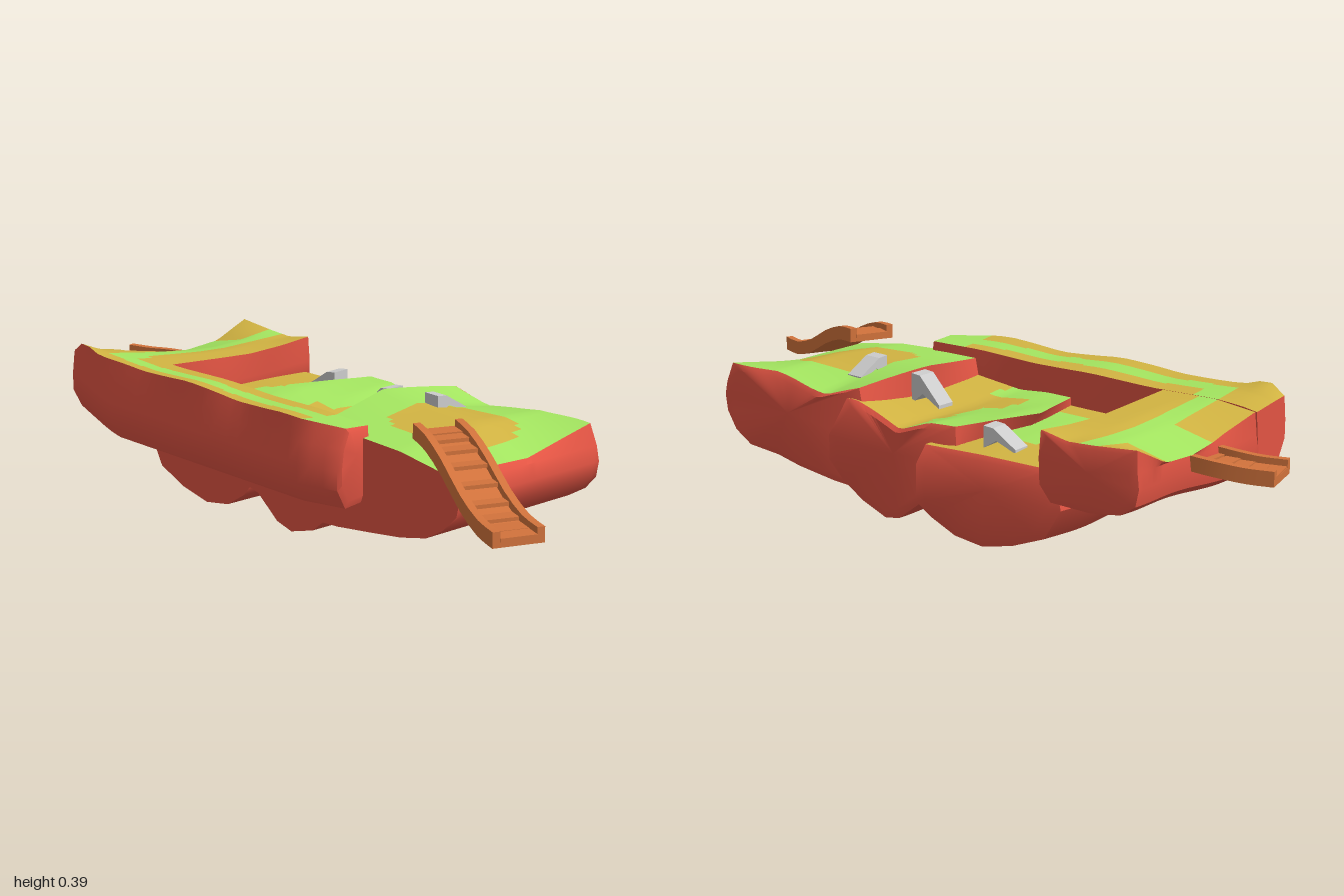
import * as THREE from 'three';
import { mergeVertices, toCreasedNormals } from 'three/addons/utils/BufferGeometryUtils.js';

const mat = (color) => new THREE.MeshStandardMaterial({ color, side: THREE.DoubleSide });
const mats = {
  rock: mat(0xe25443), grass: mat(0xa4e660), earth: mat(0xd2b442),
  wood: mat(0xd2733c), stone: mat(0xcccccc),
};

// mesh from a flat list of triangle corners
function facesMesh(name, points, material, crease) {
  const flat = new THREE.BufferGeometry().setFromPoints(points);
  const mesh = new THREE.Mesh(toCreasedNormals(mergeVertices(flat), crease), material);
  mesh.name = name;
  return mesh;
}

// joins a row of equal rings with quads; pick(i, j) chooses the list each quad goes to
function skin(rings, pick) {
  for (let i = 0; i + 1 < rings.length; i++) {
    const a = rings[i], b = rings[i + 1], n = a.length;
    for (let j = 0; j < n; j++) {
      const k = (j + 1) % n;
      pick(i, j).push(a[j], a[k], b[j], a[k], b[k], b[j]);
    }
  }
}

// bilinear height table: rows follow zs, columns follow xs
function heights(xs, zs, rows) {
  const find = (list, v) => {
    let i = 0;
    while (i < list.length - 2 && v > list[i + 1]) i++;
    return [i, THREE.MathUtils.clamp((v - list[i]) / (list[i + 1] - list[i]), 0, 1)];
  };
  return (x, z) => {
    const [i, s] = find(xs, x), [j, t] = find(zs, z);
    const mix = (r) => r[i] + (r[i + 1] - r[i]) * s;
    return mix(rows[j]) * (1 - t) + mix(rows[j + 1]) * t;
  };
}

// rock island: section (v, y) carried along u, with a height-mapped two-colour top;
// flare pushes the far end out, lift and shift move the underside, moss marks green underside faces
function island(name, { flare = () => 0, lift = () => 0, shift = () => 0, moss = () => false, ...o }) {
  const NU = 28, NV = 20, group = new THREE.Group();
  group.name = name;
  const place = (u, v, y) => (o.turned ? new THREE.Vector3(-v, y, u) : new THREE.Vector3(u, y, v));
  const ring = (u, end) => {
    const pts = [], v0 = o.v0(u), v1 = o.v1(u);
    for (let j = 0; j <= NV; j++) {
      const v = v0 + ((v1 - v0) * j) / NV;
      const p = place(u + end * 0.5 * flare(v, 0.3), v, 0);
      p.y = o.top(p.x, p.z);
      pts.push(p);
    }
    for (const [v, y] of o.under) {
      const ripple = 0.004 * Math.sin(u * 17 + v * 9);
      pts.push(place(u + end * flare(v, y), v + ripple + shift(u, v), Math.max(0, y + lift(u) + ripple * 0.5)));
    }
    return pts;
  };
  const rings = [];
  for (let i = 0; i <= NU; i++) {
    rings.push(ring(o.u0 + ((o.u1 - o.u0) * i) / NU, Math.max(0, (i / NU) * 4 - 3)));
  }
  // gently swollen end caps
  const cap = (r, scale, push) => {
    const c = r.reduce((s, p) => s.add(p), new THREE.Vector3()).divideScalar(r.length);
    c.y -= 0.04;
    const d = place(push, 0, 0);
    return r.map((p) => p.clone().sub(c).multiplyScalar(scale).add(c).add(d));
  };
  const first = rings[0], last = rings[NU], [b0, b1] = o.bulge;
  rings.unshift(cap(first, 0, -b0), cap(first, 0.85, -b0));
  rings.push(cap(last, 0.85, b1), cap(last, 0, b1));
  const lists = { rock: [], grass: [], earth: [] };
  skin(rings, (i, j) => {
    const body = i >= 2 && i < NU + 2;
    if (body && j < NV) {
      const m = rings[i][j].clone().add(rings[i + 1][j + 1]).multiplyScalar(0.5);
      return o.earth(m.x, m.z) ? lists.earth : lists.grass;
    }
    return body && moss(rings[i][j].x, j - NV - 1) ? lists.grass : lists.rock;
  });
  for (const key of Object.keys(lists)) {
    if (lists[key].length) group.add(facesMesh(key, lists[key], mats[key], 0.7));
  }
  return group;
}

// plank walkway with side rails along a curve
function bridge(name, path, planks) {
  const group = new THREE.Group(), N = 10;
  group.name = name;
  const curve = new THREE.CatmullRomCurve3(path.map((p) => new THREE.Vector3(...p)));
  const frame = (t) => {
    const dir = curve.getTangent(t).setY(0).normalize();
    return { p: curve.getPoint(t), side: new THREE.Vector3(-dir.z, 0, dir.x), dir };
  };
  const sweep = (part, section) => {
    const rings = [], pts = [];
    for (let i = 0; i <= N; i++) {
      const { p, side } = frame(i / N);
      rings.push(section.map(([s, y]) => p.clone().addScaledVector(side, s).setY(p.y + y)));
    }
    skin(rings, () => pts);
    for (const [r, flip] of [[rings[0], true], [rings[N], false]]) {
      for (let j = 1; j + 1 < r.length; j++) pts.push(r[0], r[flip ? j + 1 : j], r[flip ? j : j + 1]);
    }
    group.add(facesMesh(part, pts, mats.wood, 0.2));
  };
  const bar = (a, b, lo, hi) => [[a, lo], [a, hi], [b, hi], [b, lo]];
  sweep('deck', bar(-0.05, 0.05, -0.02, -0.001));
  sweep('railLeft', bar(-0.067, -0.047, -0.02, 0.02));
  sweep('railRight', bar(0.047, 0.067, -0.02, 0.02));
  // stepped planks
  for (let i = 0; i < planks; i++) {
    const { p, dir } = frame((i + 0.5) / planks);
    const plank = new THREE.Mesh(new THREE.BoxGeometry(0.096, 0.01, curve.getLength() / planks / 1.1), mats.wood);
    plank.name = 'plank';
    plank.position.set(p.x, p.y - 0.002, p.z);
    plank.rotation.y = Math.atan2(dir.x, dir.z);
    group.add(plank);
  }
  return group;
}

// stone ramp descending along its local +x
function ramp(x, y, z, turn, length, drop, width) {
  const shape = new THREE.Shape([
    [0, 0], [length * 0.3, -0.003], [length, -drop], [length, -drop - 0.01], [length * 0.4, -drop * 0.7], [0, -drop - 0.01],
  ].map((p) => new THREE.Vector2(...p)));
  const geo = new THREE.ExtrudeGeometry(shape, { depth: width, bevelEnabled: false });
  geo.translate(0, 0, -width / 2);
  const mesh = new THREE.Mesh(geo, mats.stone);
  mesh.name = 'stoneRamp';
  mesh.position.set(x, y, z);
  mesh.rotation.y = turn;
  return mesh;
}

export function createModel() {
  const model = new THREE.Group();
  const peak = (x, mid, half) => Math.max(0, 1 - Math.abs(x - mid) / half);

  model.add(island('frontIsland', {
    u0: -0.225, u1: 0.282, bulge: [0, 0.01],
    v0: (x) => 0.17 - 0.045 * peak(x, 0.05, 0.25), v1: (x) => 0.65 + 0.01 * peak(x, 0.05, 0.25),
    flare: (z) => 0.018 + 0.014 * Math.cos((z - 0.6) * 22),
    top: heights([-0.23, 0.05, 0.3], [0.13, 0.28, 0.48, 0.66], [
      [0.33, 0.365, 0.35], [0.33, 0.352, 0.305], [0.322, 0.345, 0.335], [0.296, 0.291, 0.335]]),
    under: [[0.675, 0.28], [0.688, 0.24], [0.677, 0.195], [0.63, 0.15], [0.57, 0.115], [0.48, 0.095], [0.38, 0.083],
      [0.25, 0.068], [0.12, 0.06], [0.13, 0.2]],
    earth: (x, z) => Math.abs((x - 0.02) / 0.14) ** 3 + Math.abs((z - 0.42) / 0.155) ** 3 < 1 && z - x < 0.62 && z - x > 0.15,
  }));

  model.add(island('middleIsland', {
    u0: -0.225, u1: 0.29, bulge: [0, 0.01],
    v0: (x) => -0.18 - 0.09 * peak(x, 0.05, 0.25), v1: () => 0.2,
    flare: (z) => 0.016 - 0.012 * Math.sin((z - 0.05) * 20),
    top: heights([-0.2, 0.05, 0.3], [-0.22, -0.1, 0, 0.17], [
      [0.28, 0.3, 0.3], [0.28, 0.28, 0.295], [0.27, 0.265, 0.26], [0.29, 0.29, 0.31]]),
    under: [[0.25, 0.2], [0.25, 0.13], [0.21, 0.08], [0.15, 0.032], [0.06, 0.006], [0, 0.02], [-0.08, 0.08], [-0.16, 0.1], [-0.19, 0.2]],
    earth: (x, z) => (x > -0.1 && x < 0.04 && z > -0.12) || (x > 0.04 && x < 0.18 && z > -0.05)
      || (x >= 0.18 && z > -0.02) || (z > 0.03 && x > -0.2),
  }));

  model.add(island('backIsland', {
    u0: -0.225, u1: 0.305, bulge: [0, 0.01],
    v0: () => -0.52, v1: () => -0.11,
    flare: (z, y) => 0.006 + 0.13 * Math.max(0, z + 0.5) * (y < 0.1 ? 0.25 + 7.5 * y : 1.15 - 1.5 * y),
    top: heights([-0.2, 0.05, 0.31], [-0.5, -0.3, -0.12], [
      [0.25, 0.255, 0.25], [0.255, 0.265, 0.25], [0.26, 0.26, 0.245]]),
    under: [[-0.1, 0.2], [-0.105, 0.1], [-0.14, 0.06], [-0.21, 0.017], [-0.3, 0.003], [-0.4, 0.025], [-0.5, 0.065], [-0.55, 0.15], [-0.54, 0.2]],
    earth: (x, z) => !(z > -0.36 && x > -0.11 && x < 0.17) && Math.hypot((x - 0.03) / 0.13, (z + 0.34) / 0.08) > 1,
  }));

  // raised L-shaped rim
  model.add(island('sideRim', {
    turned: true, u0: -0.79, u1: 0.335, bulge: [0, 0.008],
    v0: (z) => 0.187 + 0.015 * peak(z, 0.34, 0.5),
    v1: (z) => 0.322 - 0.04 * peak(z, 0.34, 0.13) - 0.015 * peak(z, -0.8, 0.15) + 0.005 * Math.sin(z * 14),
    lift: (z) => 0.05 * peak(z, -0.8, 0.2),
    shift: (z, v) => (v > 0.25 ? -0.035 * peak(z, 0.34, 0.13) - 0.02 * peak(z, -0.8, 0.15) : 0),
    top: heights([-0.33, -0.26, -0.19], [-0.8, -0.74, -0.66, -0.45, -0.25, -0.05, 0.15, 0.34], [
      [0.36, 0.355, 0.345], [0.405, 0.37, 0.355], [0.375, 0.37, 0.36], [0.37, 0.36, 0.355],
      [0.38, 0.37, 0.36], [0.365, 0.36, 0.355], [0.375, 0.365, 0.36], [0.365, 0.36, 0.355]]),
    under: [[0.33, 0.31], [0.338, 0.25], [0.338, 0.2], [0.31, 0.147], [0.2, 0.155], [0.19, 0.25]],
    earth: (x, z) => z < 0.2 && !(x > -0.282 && x < -0.237 && z > -0.68) && !(x > -0.282 && z > -0.68 && z < -0.6),
  }));

  model.add(island('backRim', {
    u0: -0.2, u1: 0.325, bulge: [0, 0.006],
    v0: (x) => -0.785 - 0.015 * peak(x, 0.2, 0.25), v1: () => -0.495,
    lift: (x) => 0.04 * (x - 0.3),
    top: heights([-0.19, 0.0, 0.1, 0.22, 0.33], [-0.8, -0.66, -0.58, -0.5], [
      [0.345, 0.305, 0.295, 0.305, 0.36], [0.36, 0.335, 0.33, 0.335, 0.345],
      [0.358, 0.345, 0.34, 0.34, 0.34], [0.356, 0.345, 0.34, 0.345, 0.355]]),
    under: [[-0.492, 0.28], [-0.495, 0.21], [-0.53, 0.17], [-0.65, 0.17], [-0.74, 0.185], [-0.785, 0.215], [-0.795, 0.26], [-0.79, 0.3]],
    moss: (x, k) => k >= 2 && k < 4 && ((x > -0.01 && x < 0.12) || x < -0.14),
    earth: (x, z) => !(z > -0.67 && z < -0.61) && !(x > 0.01 && x < 0.22 && z < -0.61),
  }));

  // walkways
  model.add(bridge('frontBridge', [[-0.311, 0.24, 0.97], [-0.279, 0.243, 0.89], [-0.238, 0.272, 0.79],
    [-0.192, 0.325, 0.68], [-0.151, 0.36, 0.58], [-0.12, 0.368, 0.505]], 9));
  model.add(bridge('backBridge', [[-0.008, 0.265, -0.987], [0.012, 0.265, -0.92], [0.028, 0.27, -0.85], [0.035, 0.275, -0.77]], 5));

  // ramps between the levels
  model.add(ramp(0.075, 0.378, 0.285, -0.05, 0.1, 0.045, 0.052));
  model.add(ramp(0.1, 0.36, 0.12, Math.PI / 2, 0.1, 0.075, 0.055));
  model.add(ramp(0.24, 0.31, -0.255, Math.PI / 2 + 0.1, 0.1, 0.05, 0.055));
  return model;
}
